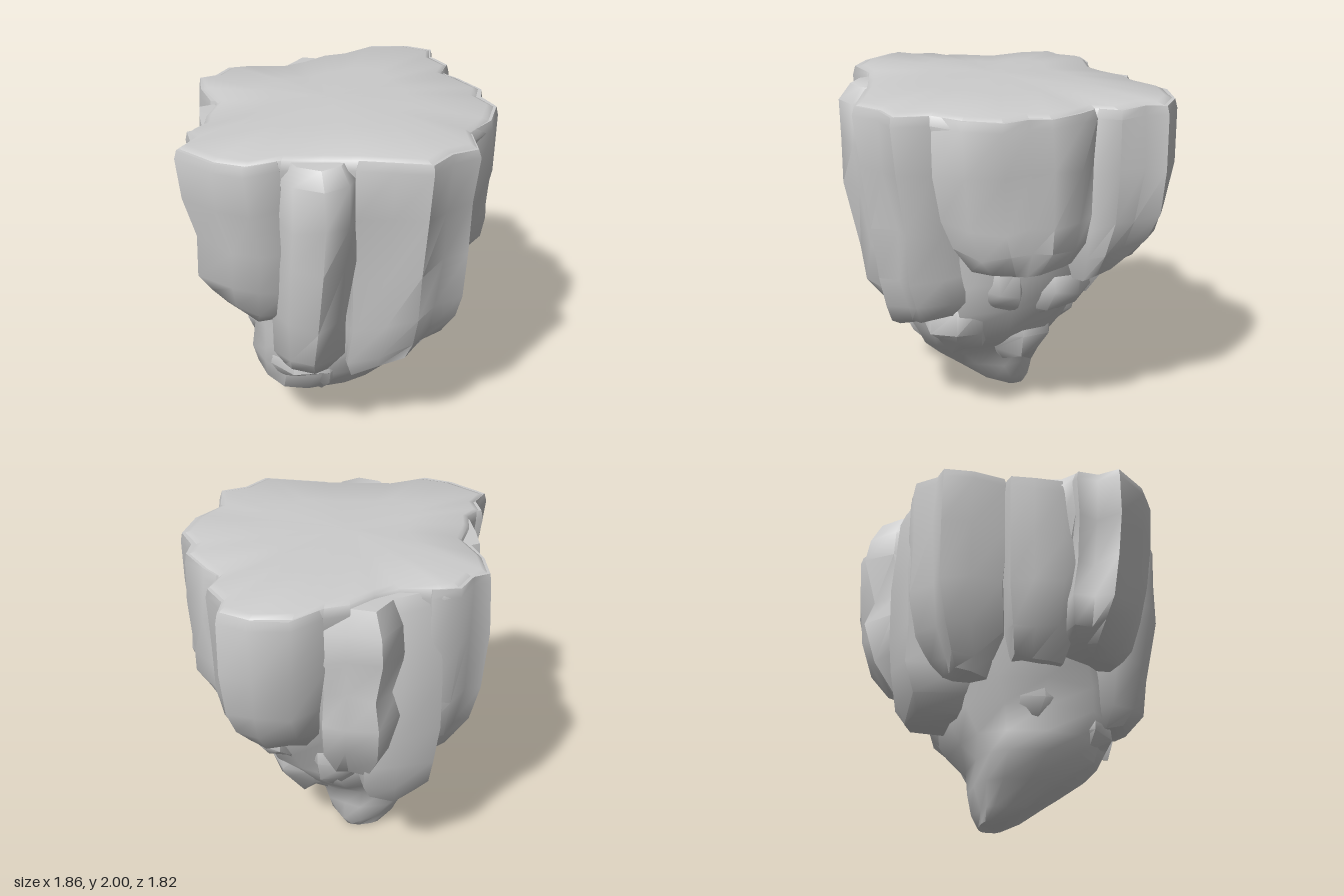
import * as THREE from 'three';
import { toCreasedNormals } from 'three/addons/utils/BufferGeometryUtils.js';

const material = new THREE.MeshStandardMaterial({ color: 0xcccccc, roughness: 0.9 });

// Small seeded generator for the rough stone surface
let seed = 7;
const rough = (amount) => {
  seed = (seed * 16807) % 2147483647;
  return (seed / 2147483647 - 0.5) * 2 * amount;
};

// Skins a list of rings (top to bottom) and closes both ends
function skin(name, rings, crease = 0.95) {
  const n = rings[0].length, pos = [], index = [];
  rings.forEach((ring) => ring.forEach((p) => pos.push(...p)));
  for (let r = 0; r < rings.length - 1; r++) {
    for (let i = 0; i < n; i++) {
      const a = r * n + i, b = r * n + (i + 1) % n;
      index.push(a, a + n, b, b, a + n, b + n);
    }
  }
  const cap = (ring, first, flip, lift) => {
    const c = [0, 1, 2].map((k) => ring.reduce((s, p) => s + p[k], 0) / n);
    const id = pos.length / 3;
    pos.push(c[0], c[1] + lift, c[2]);
    for (let i = 0; i < n; i++) {
      const a = first + i, b = first + (i + 1) % n;
      if (flip) index.push(id, b, a); else index.push(id, a, b);
    }
  };
  cap(rings[0], 0, false, 0.001);
  cap(rings[rings.length - 1], (rings.length - 1) * n, true, -0.01);
  const g = new THREE.BufferGeometry();
  g.setAttribute('position', new THREE.Float32BufferAttribute(pos, 3));
  g.setIndex(index);
  const mesh = new THREE.Mesh(toCreasedNormals(g, crease), material);
  mesh.name = name;
  return mesh;
}

// Orders an [x, z] outline so that skin() faces outward
function oriented(outline) {
  let area = 0;
  outline.forEach(([x, z], i) => {
    const [x2, z2] = outline[(i + 1) % outline.length];
    area += x * z2 - x2 * z;
  });
  return area > 0 ? [...outline].reverse() : outline;
}

// Rock column: levels are [y, scale, dx, dz], slope tilts the underside in x and z
function column(name, outline, levels, slope = [0, 0], jitter = 0.016) {
  const o = oriented(outline);
  const cx = o.reduce((s, p) => s + p[0], 0) / o.length;
  const cz = o.reduce((s, p) => s + p[1], 0) / o.length;
  const top = levels[0][0], bottom = levels[levels.length - 1][0];
  const rings = levels.map(([y, s, dx = 0, dz = 0], k) => {
    const t = Math.pow((top - y) / (top - bottom), 2);
    const j = k < 2 ? 0 : jitter;
    return o.map(([x, z]) => [
      cx + (x - cx) * s + dx + rough(j),
      y + t * (slope[0] * (x - cx) + slope[1] * (z - cz)) * s + rough(j * 1.5),
      cz + (z - cz) * s + dz + rough(j),
    ]);
  });
  return skin(name, rings);
}

// Flat ground outline, [x, z]
const RIM = [
  [-0.93, 0.4], [-0.77, 0.61], [-0.62, 0.7], [-0.42, 0.67], [-0.2, 0.72], [-0.01, 0.77], [0.34, 0.9],
  [0.48, 0.79], [0.64, 0.76], [0.67, 0.56], [0.82, 0.43], [0.92, 0.24], [0.87, 0.08], [0.92, -0.03],
  [0.84, -0.23], [0.78, -0.33], [0.85, -0.44], [0.79, -0.6], [0.83, -0.72], [0.69, -0.83], [0.47, -0.87],
  [0.29, -0.79], [0.15, -0.78], [0, -0.7], [-0.14, -0.66], [-0.37, -0.71], [-0.46, -0.71], [-0.56, -0.6],
  [-0.66, -0.58], [-0.68, -0.4], [-0.63, -0.17], [-0.72, 0], [-0.75, 0.12], [-0.84, 0.19], [-0.84, 0.3],
];

export function createModel() {
  const group = new THREE.Group();
  group.name = 'floatingRock';

  // Gently domed ground with a worn rim
  const plate = [[2, 0.12], [1.99, 0.5], [1.965, 0.93], [1.95, 0.97], [1.9, 0.995], [1.7, 0.93], [1.3, 0.74]];
  const rim = oriented(RIM);
  group.add(skin('ground', plate.map(([y, s]) => rim.map(([x, z]) => [x * s, y, z * s])), 0.8));

  // Tapering core, rows are [y, xMin, xMax, zMin, zMax]
  const core = [
    [1.3, -0.6, 0.68, -0.62, 0.65], [0.95, -0.54, 0.64, -0.58, 0.6], [0.75, -0.52, 0.57, -0.45, 0.61],
    [0.6, -0.5, 0.52, -0.42, 0.59], [0.45, -0.48, 0.36, -0.36, 0.5], [0.34, -0.46, 0.22, -0.29, 0.45],
    [0.2, -0.37, 0.15, -0.27, 0.26], [0.08, -0.28, 0.11, -0.23, 0.09], [0.01, -0.19, 0.05, -0.2, -0.04],
  ];
  const sides = 14;
  group.add(skin('core', core.map(([y, x0, x1, z0, z1], k) => Array.from({ length: sides }, (_, i) => {
    const a = -(i / sides) * Math.PI * 2, j = k < 8 ? 0.02 : 0;
    // Slightly squared ellipse
    const f = (v) => Math.sign(v) * Math.pow(Math.abs(v), 0.8);
    return [(x0 + x1) / 2 + f(Math.cos(a)) * (x1 - x0) / 2 + rough(j), y + rough(j * 0.6),
      (z0 + z1) / 2 + f(Math.sin(a)) * (z1 - z0) / 2 + rough(j)];
  }))));

  // Cliff columns around the rim
  group.add(
    column('frontRightCliff',
      [[-0.93, 0.4], [-0.77, 0.61], [-0.62, 0.71], [-0.42, 0.67], [-0.33, 0.3], [-0.6, 0.1], [-0.84, 0.17], [-0.84, 0.3]],
      [[1.95, 0.95], [1.9, 1], [1.65, 0.96, 0.03], [1.4, 0.92, 0.08], [1.15, 0.88, 0.07, -0.03],
        [1, 0.76, 0.09, -0.05], [0.9, 0.5, 0.13, -0.07]], [-0.25, 0]),
    column('frontBulge',
      [[-0.43, 0.62], [-0.38, 0.78], [-0.23, 0.88], [-0.08, 0.83], [-0.02, 0.74], [-0.05, 0.3], [-0.4, 0.3]],
      [[1.94, 0.75, 0, -0.02], [1.85, 0.96], [1.6, 1], [1.35, 1, -0.01, -0.02], [0.95, 0.98, -0.03, -0.09],
        [0.68, 0.9, -0.02, -0.13], [0.57, 0.65, -0.02, -0.15]]),
    column('frontLeftCliff',
      [[-0.04, 0.76], [0.15, 0.83], [0.34, 0.9], [0.48, 0.79], [0.64, 0.76], [0.67, 0.56], [0.5, 0.2], [0, 0.2]],
      [[1.95, 0.95], [1.9, 1], [1.6, 0.98, 0, -0.03], [1.25, 0.96, 0, -0.07], [0.95, 0.93, -0.01, -0.09],
        [0.74, 0.9, -0.03, -0.12], [0.63, 0.78, -0.06, -0.14]], [0.45, 0]),
    column('leftCliff',
      [[0.66, 0.55], [0.82, 0.43], [0.92, 0.24], [0.88, 0.08], [0.92, -0.03], [0.84, -0.23], [0.78, -0.33], [0.4, -0.3], [0.4, 0.4]],
      [[1.95, 0.95], [1.9, 1], [1.65, 0.98, 0.01], [1.35, 0.92, -0.01, -0.02], [1.2, 0.82, 0.01, -0.03],
        [1.07, 0.6, -0.01, -0.03]]),
    column('backLeftCliff',
      [[0.78, -0.33], [0.85, -0.44], [0.79, -0.6], [0.83, -0.72], [0.69, -0.83], [0.47, -0.88], [0.29, -0.79], [0.28, -0.28], [0.6, -0.2]],
      [[1.95, 0.95], [1.9, 1], [1.6, 0.99], [1.3, 0.95, -0.01, 0.02], [1.12, 0.86, -0.04, 0.05],
        [0.98, 0.62, -0.07, 0.1]], [0.1, -0.32]),
    column('backBulge',
      [[0.3, -0.78], [0.17, -0.82], [0, -0.9], [-0.15, -0.76], [-0.1, -0.3], [0.3, -0.3]],
      [[1.93, 0.76, 0, 0.02], [1.8, 0.95], [1.65, 1], [1.4, 0.92, 0, 0.03], [1.22, 0.96], [1, 0.85, 0, 0.04],
        [0.8, 0.6, 0, 0.1]]),
    column('backPillar',
      [[0.06, -0.72], [-0.14, -0.77], [-0.37, -0.71], [-0.4, -0.3], [0.05, -0.3]],
      [[1.93, 0.9, 0, 0.05], [1.85, 0.96, 0, 0.03], [1.4, 1], [1.05, 1], [0.85, 0.96], [0.68, 0.86, 0.01, 0.02],
        [0.57, 0.6, 0.02, 0.04]]),
    column('backRightCliff',
      [[-0.3, -0.7], [-0.46, -0.71], [-0.56, -0.6], [-0.66, -0.58], [-0.68, -0.4], [-0.65, -0.2], [-0.3, -0.1]],
      [[1.95, 0.96], [1.9, 1], [1.6, 1], [1.25, 0.97, 0.02], [1, 0.88, 0.05, 0.03], [0.85, 0.72, 0.09, 0.06],
        [0.75, 0.5, 0.11, 0.08]]),
    column('rightCliff',
      [[-0.62, -0.22], [-0.72, -0.2], [-0.74, -0.05], [-0.75, 0.12], [-0.7, 0.25], [-0.3, 0.2], [-0.3, -0.2]],
      [[1.93, 0.94], [1.85, 0.98], [1.55, 1], [1.25, 0.95, 0.02], [1, 0.85, 0.05], [0.84, 0.6, 0.1]]),
  );

  // Broken lumps on the lower flanks: [name, x, z, radiusX, radiusZ, top, bottom]
  [
    ['leftUpperLump', 0.5, 0.13, 0.15, 0.17, 1.12, 0.7],
    ['leftBackLump', 0.46, -0.22, 0.16, 0.2, 1.05, 0.66],
    ['leftLowerLump', 0.26, -0.07, 0.22, 0.21, 0.8, 0.32],
    ['leftFrontLump', 0.36, 0.33, 0.2, 0.2, 0.85, 0.45],
    ['backLowerLump', 0.12, -0.36, 0.2, 0.14, 0.95, 0.5],
    ['rightLowerLump', -0.36, 0.02, 0.16, 0.2, 0.95, 0.45],
    ['frontLowerLump', -0.22, 0.36, 0.22, 0.18, 0.7, 0.33],
  ].forEach(([name, x, z, rx, rz, top, bottom]) => {
    const outline = Array.from({ length: 7 }, (_, i) => {
      const a = (i / 7) * Math.PI * 2 + 0.3;
      return [x + Math.cos(a) * rx, z + Math.sin(a) * rz];
    });
    const at = (t) => top + (bottom - top) * t;
    group.add(column(name, outline,
      [[at(0), 0.6], [at(0.2), 0.92], [at(0.55), 1], [at(0.8), 0.85, -x * 0.08, -z * 0.08], [at(1), 0.5, -x * 0.15, -z * 0.15]],
      [0, 0], 0.022));
  });

  return group;
}
